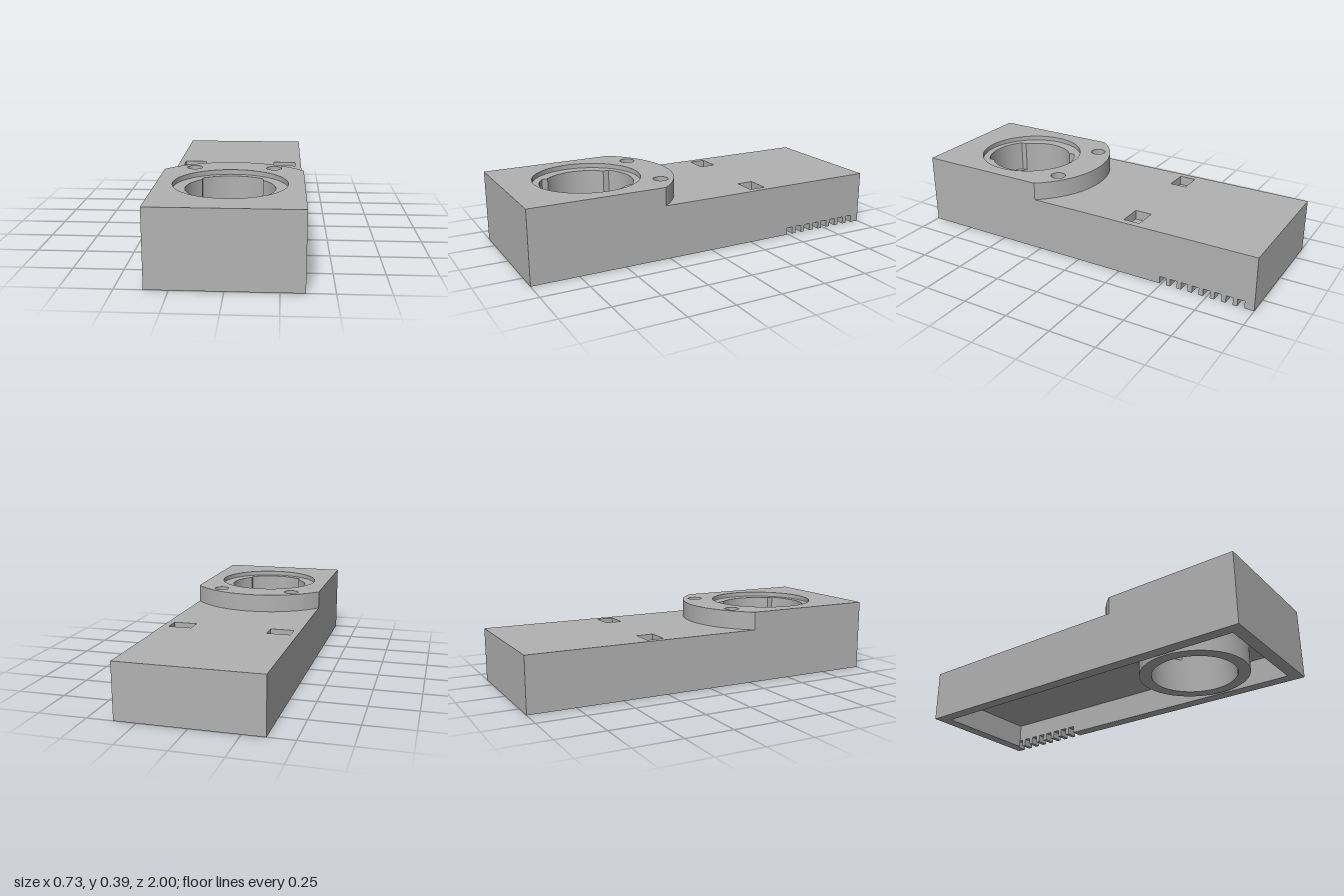
import * as THREE from 'three';
import { toCreasedNormals } from 'three/addons/utils/BufferGeometryUtils.js';

const W = 0.365, L = 1, T = 0.065;          // half width, half length, wall thickness
const CY = -0.555;                          // bore centre in plan (plan y = -z)
const BORE = 0.223, NOTCH = 0.247, NOTCH_X = 0.155;

export function createModel() {
  const group = new THREE.Group();
  const grey = new THREE.MeshStandardMaterial({ color: 0xb2b2b2 });
  grey.name = 'plain grey';

  // Extrude a plan shape between two heights
  const layer = (name, shape, y0, y1) => {
    const geo = new THREE.ExtrudeGeometry(shape, { depth: y1 - y0, bevelEnabled: false, curveSegments: 48 });
    geo.rotateX(-Math.PI / 2);
    geo.translate(0, y0, 0);
    const mesh = new THREE.Mesh(toCreasedNormals(geo, 0.5), grey);
    mesh.name = name;
    group.add(mesh);
  };
  const poly = (pts) => new THREE.Shape(pts.map(([x, y]) => new THREE.Vector2(x, y)));
  const rect = (x0, y0, x1, y1) => poly([[x0, y0], [x1, y0], [x1, y1], [x0, y1]]);
  const circle = (x, y, r) => new THREE.Shape().absarc(x, y, r, 0, Math.PI * 2, false);
  const cut = (shape, ...holes) => { shape.holes.push(...holes); return shape; };

  // Bore outline widened at its front and back
  const notchedBore = () => {
    const a = Math.acos(NOTCH_X / BORE), b = Math.acos(NOTCH_X / NOTCH), p = Math.PI;
    return new THREE.Shape()
      .absarc(0, CY, BORE, -a, a, false)
      .absarc(0, CY, NOTCH, b, p - b, false)
      .absarc(0, CY, BORE, p - a, p + a, false)
      .absarc(0, CY, NOTCH, p + b, 2 * p - b, false);
  };

  // Skirt walls, with a row of vent slots along the left wall's lower edge
  const slots = 8, s0 = 0.49, s1 = 0.95, slotW = 0.037, slotH = 0.04;
  const pitch = (s1 - s0 - slotW) / (slots - 1);
  const xi = W - T, yi = L - T;
  layer('lowerSkirt', poly([
    [W, s0], [xi, s0], [xi, -yi], [-xi, -yi], [-xi, yi], [xi, yi],
    [xi, s1], [W, s1], [W, L], [-W, L], [-W, -L], [W, -L],
  ]), 0, slotH);
  for (let i = 0; i < slots - 1; i++) {
    const y = s0 + i * pitch;
    layer('ventTooth', rect(xi, y + slotW, W, y + pitch), 0, slotH);
  }
  layer('upperSkirt', cut(rect(-W, -L, W, L), rect(-xi, -yi, xi, yi)), slotH, 0.14);

  // Tube hanging under the deck
  layer('boreTube', cut(circle(0, CY, 0.287), circle(0, CY, BORE)), 0, 0.14);

  // Thick deck: plain bore, notched bore, then two blind pockets
  layer('deckBase', cut(rect(-W, -L, W, L), circle(0, CY, BORE)), 0.14, 0.19);
  layer('deckMiddle', cut(rect(-W, -L, W, L), notchedBore()), 0.19, 0.24);
  layer('deckTop', cut(rect(-W, -L, W, L), notchedBore(),
    rect(0.205, 0.26, 0.33, 0.35), rect(-0.33, 0.26, -0.205, 0.35)), 0.24, 0.29);

  // Raised front block with a rounded back, screw holes and a shallow recess
  const raised = (bore) => {
    const r = 0.46, a = Math.acos(W / r);
    const shape = new THREE.Shape().moveTo(-W, -L).lineTo(W, -L).absarc(0, CY, r, a, Math.PI - a, false);
    return cut(shape, bore, circle(0.21, -0.225, 0.04), circle(-0.21, -0.225, 0.04));
  };
  layer('raisedBlock', raised(notchedBore()), 0.29, 0.362);
  layer('recessRim', raised(circle(0, CY, 0.284)), 0.362, 0.387);

  return group;
}
